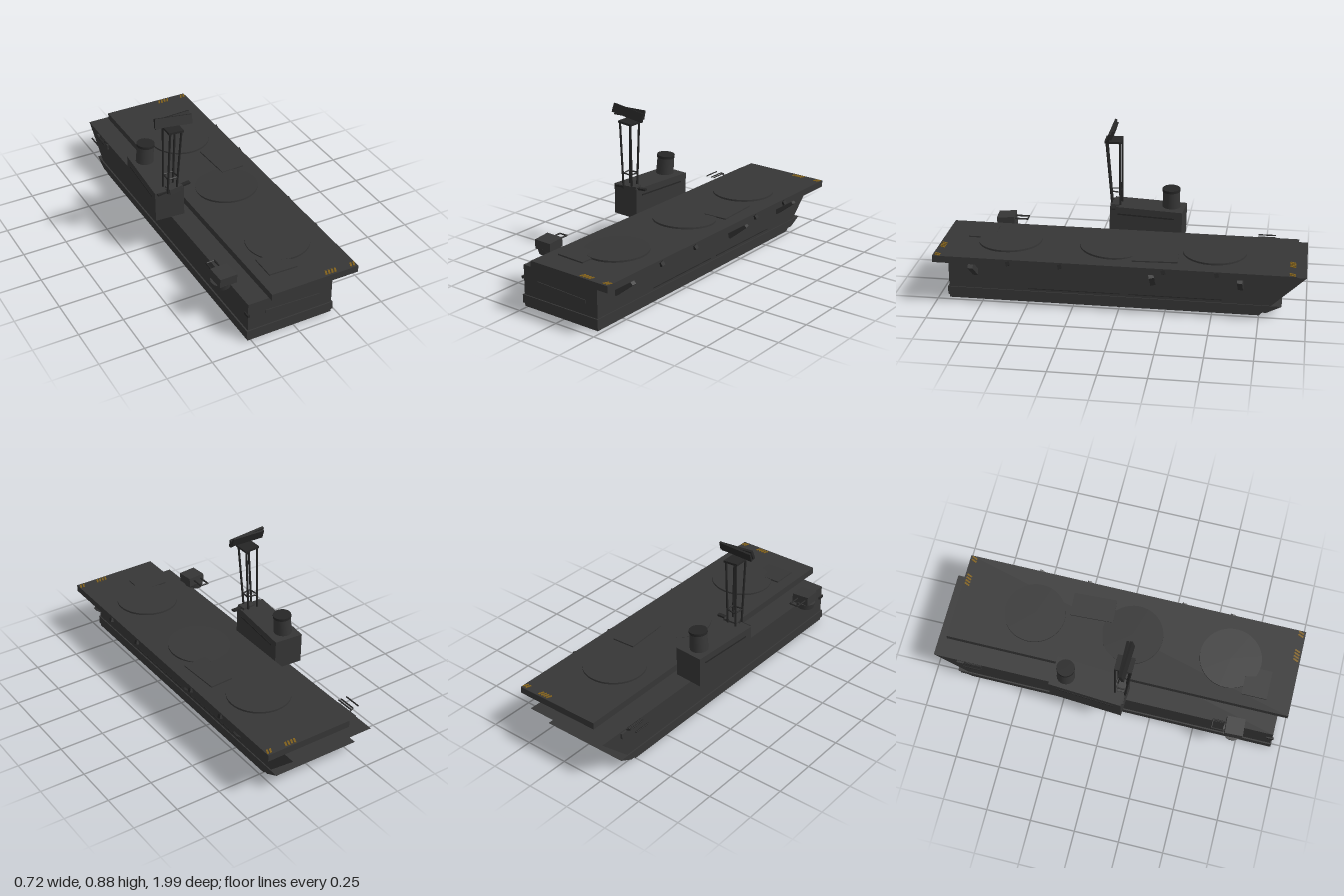
import * as THREE from 'three';

const mat = (name, color) => {
  const m = new THREE.MeshStandardMaterial({ color });
  m.name = name;
  return m;
};

export function createModel() {
  const root = new THREE.Group();
  root.name = 'carrierShip';
  const grey = mat('hullGrey', 0x363636);
  const dark = mat('darkMetal', 0x262626);
  const yellow = mat('warningYellow', 0x80601c);

  const add = (name, geo, material, pos = [0, 0, 0], rot = [0, 0, 0], parent = root) => {
    const m = new THREE.Mesh(geo, material);
    m.name = name;
    m.position.set(...pos);
    m.rotation.set(...rot);
    parent.add(m);
    return m;
  };
  const box = (name, size, pos, rot, material = grey, parent = root) =>
    add(name, new THREE.BoxGeometry(...size), material, pos, rot, parent);
  const drum = (name, r0, r1, h, sides, pos, rot, material = grey, parent = root) =>
    add(name, new THREE.CylinderGeometry(r0, r1, h, sides), material, pos, rot, parent);

  // Rod between two points
  const rod = (name, a, b, r, material = dark, parent = root) => {
    const p = new THREE.Vector3(...a), q = new THREE.Vector3(...b);
    const m = add(name, new THREE.CylinderGeometry(r, r, p.distanceTo(q), 6), material,
      p.clone().add(q).multiplyScalar(0.5).toArray(), [0, 0, 0], parent);
    m.quaternion.setFromUnitVectors(new THREE.Vector3(0, 1, 0), q.sub(p).normalize());
    return m;
  };

  // Side profile (z, y) extruded across x
  const slab = (name, profile, x0, x1) => {
    const shape = new THREE.Shape(profile.map(([z, y]) => new THREE.Vector2(z, y)));
    const geo = new THREE.ExtrudeGeometry(shape, { depth: x1 - x0, bevelEnabled: false });
    geo.rotateY(-Math.PI / 2).translate(x1, 0, 0);
    return add(name, geo, grey);
  };

  // Hull with raked bow and waterline belt
  slab('hull', [[0.94, 0.082], [0.94, 0.312], [-0.995, 0.312], [-0.75, 0.082]], -0.267, 0.225);
  slab('waterlineBelt', [[0.947, 0.102], [0.947, 0.148], [-0.87, 0.142], [-0.79, 0.102]], -0.275, 0.231);
  box('sternPanel', [0.32, 0.018, 0.006], [-0.01, 0.228, 0.941], [0, 0, -0.04]);

  // Flight deck overhanging the +x side
  const deck = new THREE.Group();
  deck.name = 'flightDeck';
  deck.position.set(0.088, 0.354, 0.025);
  deck.rotation.set(-0.003, 0, -0.005);
  root.add(deck);
  box('deckPlate', [0.505, 0.038, 1.94], [0, 0, 0], [0, 0, 0], grey, deck);
  for (const s of [-1, 1]) {
    for (const [x0, n] of [[0.075, 4], [0.222, 2]]) {
      for (let i = 0; i < n; i++) {
        box('warningStripe', [0.01, 0.004, 0.032], [x0 + i * 0.018, 0.02, s * 0.945],
          [0, -0.4, 0], yellow, deck);
      }
    }
  }

  // Landing circles and lift plates, slightly uneven
  const pads = [[0.085, 0.377, -0.5, 0, 0], [0.09, 0.378, 0.06, -0.06, 0.01], [0.085, 0.382, 0.62, 0.01, 0.02]];
  for (const [x, y, z, rx, rz] of pads) {
    drum('landingCircle', 0.172, 0.172, 0.01, 40, [x, y, z], [rx, 0, rz]);
  }
  box('deckLift', [0.135, 0.008, 0.245], [0.195, 0.375, -0.19], [0, 0.05, -0.01]);
  box('deckLift', [0.165, 0.008, 0.14], [-0.02, 0.381, 0.79], [0, 0, -0.03]);

  // Struts under the overhang and edge lamps
  for (const [z, tilt] of [[0.79, 0.0], [-0.18, 0.2], [-0.65, -0.05]]) {
    box('deckStrut', [0.14, 0.032, 0.028], [0.273, 0.28, z], [tilt, tilt, 0.67]);
  }
  for (const z of [-0.53, -0.25, 0.3, 0.58]) {
    box('edgeLamp', [0.02, 0.022, 0.022], [0.344, 0.353, z], [0.3, 0, 0.4], dark);
  }

  // Island with its windows and funnel
  const island = new THREE.Group();
  island.name = 'island';
  island.position.set(-0.267, 0.405, -0.095);
  island.rotation.set(-0.02, -0.07, 0);
  root.add(island);
  box('islandBlock', [0.165, 0.172, 0.41], [0, 0, 0], [0, 0, 0], grey, island);
  for (const s of [-1, 1]) {
    box('windowBand', [0.003, 0.008, 0.32], [s * 0.083, 0.045, 0], [0, 0, 0], dark, island);
  }
  drum('funnel', 0.046, 0.05, 0.105, 20, [-0.263, 0.54, -0.225], [0, 0, -0.07]);
  drum('funnelCap', 0.05, 0.05, 0.015, 20, [-0.259, 0.592, -0.225], [0, 0, -0.07], dark);

  // Four-legged mast, platform and radar
  const top = [[-0.287, 0.055], [-0.219, 0.06], [-0.219, 0.135], [-0.287, 0.14]];
  const foot = [[-0.293, 0.055], [-0.238, 0.06], [-0.238, 0.105], [-0.293, 0.11]];
  const legAt = (i, y) => {
    const t = (y - 0.48) / 0.39;
    return [foot[i][0] + (top[i][0] - foot[i][0]) * t, y, foot[i][1] + (top[i][1] - foot[i][1]) * t];
  };
  for (let i = 0; i < 4; i++) {
    rod('mastLeg', legAt(i, 0.48), legAt(i, 0.87), 0.006);
    rod('mastBrace', legAt(i, 0.57), legAt((i + 1) % 4, 0.575), 0.004);
  }
  box('mastPlatform', [0.088, 0.012, 0.094], [-0.253, 0.87, 0.098], [0, 0, -0.08], dark);
  box('radarPanel', [0.212, 0.05, 0.014], [-0.254, 0.922, 0.11], [-0.3, 0, -0.12], dark);
  box('radarBack', [0.2, 0.05, 0.012], [-0.253, 0.922, 0.097], [-0.3, 0, 0.03], dark);
  box('mastCabin', [0.08, 0.03, 0.05], [-0.245, 0.49, 0.09], [0, 0.1, 0.05]);
  box('bridgeWing', [0.2, 0.01, 0.022], [-0.252, 0.492, 0.096], [0, 0.08, 0.05], dark);

  // Side gun on its round platform
  drum('gunPlatform', 0.056, 0.05, 0.034, 18, [-0.3, 0.318, 0.72], [0.05, 0, 0.05]);
  box('gunHouse', [0.1, 0.052, 0.1], [-0.29, 0.356, 0.725], [0.05, 0.05, -0.04]);
  for (const x of [-0.323, -0.275]) {
    rod('gunBarrel', [x, 0.362, 0.68], [x, 0.362, 0.6], 0.005);
  }
  rod('barrelLink', [-0.323, 0.362, 0.602], [-0.275, 0.362, 0.602], 0.004);

  // Small gun near the bow
  box('bowGunMount', [0.02, 0.03, 0.14], [-0.267, 0.29, -0.79], [0, 0.02, 0]);
  for (const x of [-0.33, -0.295, -0.278]) {
    rod('bowGunBarrel', [x, 0.318, -0.715], [x, 0.318, -0.815], 0.004);
  }
  rod('bowBarrelLink', [-0.295, 0.318, -0.815], [-0.262, 0.3, -0.815], 0.004);

  // Side fittings on the hull
  box('sideFitting', [0.012, 0.014, 0.04], [-0.268, 0.245, 0.93], [0, 0, 0], dark);
  for (const z of [-0.3, 0.25]) {
    box('hullSeam', [0.004, 0.004, 0.5], [0.225, 0.16, z], [0, 0, 0], dark);
  }

  return root;
}
